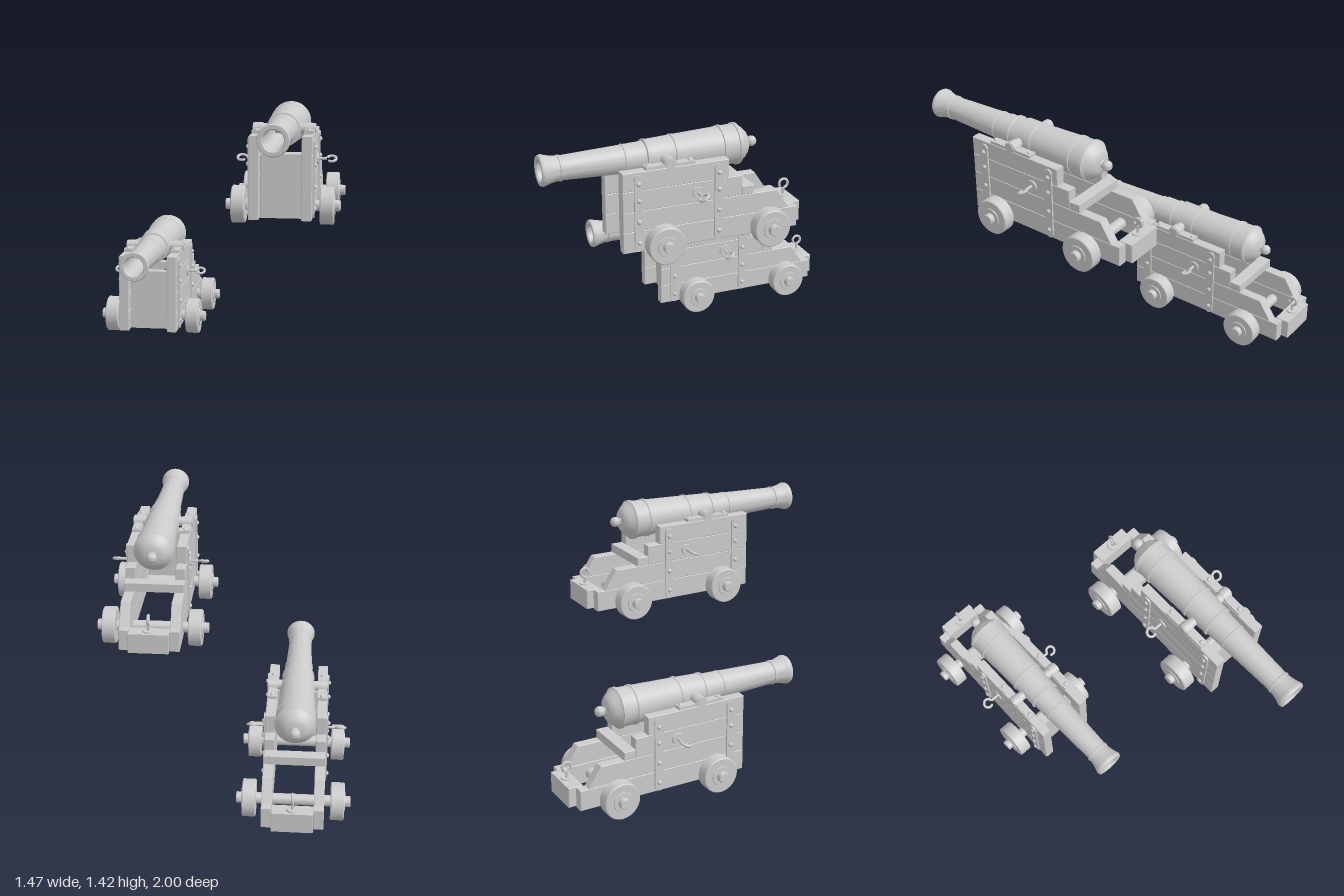
import * as THREE from 'three';
import { toCreasedNormals } from 'three/addons/utils/BufferGeometryUtils.js';

const material = new THREE.MeshStandardMaterial({ color: 0xcccccc });
const SIDES = [-1, 1];
const IN = 0.115, OUT = 0.172; // inner and outer faces of the cheeks
const AXIS_Y = 0.523;          // height of the barrel axis

function add(parent, name, geometry, x = 0, y = 0, z = 0) {
  const mesh = new THREE.Mesh(geometry, material);
  mesh.name = name;
  mesh.position.set(x, y, z);
  parent.add(mesh);
  return mesh;
}

// Turned part: profile of [radius, position along axis], ascending for outer faces
function turned(profile, segments = 40) {
  const points = profile.map(([r, t]) => new THREE.Vector2(r, t));
  return toCreasedNormals(new THREE.LatheGeometry(points, segments), 0.5);
}

// Board cut from a side outline of [z, y] points, running from x0 to x1
function board(outline, x0, x1) {
  const b = 0.003;
  const shape = new THREE.Shape(outline.map(([z, y]) => new THREE.Vector2(z, y)));
  const g = new THREE.ExtrudeGeometry(shape, {
    depth: x1 - x0 - 2 * b, bevelThickness: b, bevelSize: b, bevelOffset: -b, bevelSegments: 1,
  });
  return g.rotateY(-Math.PI / 2).translate(x1 - b, 0, 0);
}

const rect = (z0, z1, y0, y1) => [[z0, y0], [z1, y0], [z1, y1], [z0, y1]];

// Domed bolt head pointing up +y
const boltGeometry = new THREE.SphereGeometry(0.014, 14, 6, 0, Math.PI * 2, 0, Math.PI / 2);

// Eyebolt standing on its base along +y, ring in its own xy plane
function eyebolt(name, height) {
  const g = new THREE.Group();
  g.name = name;
  const r = 0.026;
  add(g, 'eyeboltBase', new THREE.CylinderGeometry(0.032, 0.034, 0.008, 24), 0, 0.004);
  const stem = height - r;
  add(g, 'eyeboltStem', new THREE.CylinderGeometry(0.008, 0.008, stem, 12), 0, stem / 2);
  const ring = new THREE.TorusGeometry(r, 0.008, 10, 28, 5.2).rotateZ(-Math.PI / 2);
  add(g, 'eyeboltRing', ring, 0, height);
  const tip = -Math.PI / 2 + 5.2;
  add(g, 'eyeboltTip', new THREE.SphereGeometry(0.008, 10, 8), r * Math.cos(tip), height + r * Math.sin(tip));
  return g;
}

function addBarrel(cannon) {
  const profile = [];
  // Ball at the breech end
  for (let i = 0; i <= 10; i++) {
    const a = (i / 10) * 2.5;
    profile.push([0.03 * Math.sin(a), -0.747 - 0.03 * Math.cos(a)]);
  }
  profile.push(
    // Breech cone and bands
    [0.022, -0.717], [0.05, -0.712], [0.066, -0.705], [0.085, -0.688], [0.102, -0.666],
    [0.11, -0.657], [0.116, -0.654], [0.116, -0.638], [0.11, -0.634], [0.108, -0.565],
    [0.113, -0.562], [0.113, -0.548], [0.107, -0.545],
    // Tapering body with raised rings
    [0.097, -0.285], [0.101, -0.282], [0.101, -0.27], [0.096, -0.267],
    [0.09, -0.125], [0.094, -0.122], [0.094, -0.112], [0.083, -0.109],
    [0.079, 0], [0.082, 0.002], [0.082, 0.01], [0.078, 0.012],
    [0.066, 0.35], [0.071, 0.353], [0.071, 0.363], [0.067, 0.366],
    // Flared muzzle, lip and bore
    [0.069, 0.385], [0.074, 0.41], [0.081, 0.435], [0.085, 0.445], [0.085, 0.455], [0.08, 0.465],
    [0.06, 0.465], [0.055, 0.458], [0.055, -0.32], [0, -0.32],
  );
  add(cannon, 'barrel', turned(profile, 48).rotateX(Math.PI / 2), 0, AXIS_Y, 0);
  add(cannon, 'trunnion', new THREE.CylinderGeometry(0.028, 0.028, 0.35, 24).rotateZ(Math.PI / 2), 0, AXIS_Y, -0.205);
}

function addCarriage(cannon) {
  // Stepped planks of one cheek, from bottom to top
  const planks = [
    rect(-0.957, 0.068, 0.05, 0.17),
    [[-0.905, 0.17], [0.068, 0.17], [0.068, 0.285], [-0.83, 0.285]],
    rect(-0.62, 0.068, 0.285, 0.4),
    rect(-0.54, 0.068, 0.4, 0.505),
  ];
  for (const s of SIDES) {
    const cheek = new THREE.Group();
    cheek.name = s > 0 ? 'leftCheek' : 'rightCheek';
    cannon.add(cheek);
    const [x0, x1] = s > 0 ? [IN, OUT] : [-OUT, -IN];
    for (const p of planks) add(cheek, 'cheekPlank', board(p, x0, x1));

    // Cap over the trunnion: flat plate, arch and bolts
    const mid = s * (IN + OUT) / 2;
    add(cheek, 'capPlate', new THREE.BoxGeometry(0.05, 0.018, 0.28), mid, 0.513, -0.205);
    add(cheek, 'capArch', new THREE.CylinderGeometry(0.036, 0.036, 0.05, 24).rotateZ(Math.PI / 2), mid, AXIS_Y - 0.004, -0.205);
    for (const z of [-0.085, -0.325]) add(cheek, 'capBolt', boltGeometry, mid, 0.521, z);

    // Iron straps with rounded ends and bolt heads
    for (const z of [-0.02, -0.48]) {
      const shape = new THREE.Shape();
      shape.absarc(z, 0.465, 0.025, 0, Math.PI);
      shape.absarc(z, 0.08, 0.025, Math.PI, Math.PI * 2);
      const strap = new THREE.ExtrudeGeometry(shape, { depth: 0.01, bevelEnabled: false, curveSegments: 8 });
      strap.rotateY(-Math.PI / 2).translate(s > 0 ? OUT + 0.01 : -OUT, 0, 0);
      add(cheek, 'strap', strap);
      for (const y of [0.44, 0.345, 0.225, 0.105]) {
        add(cheek, 'strapBolt', boltGeometry, s * (OUT + 0.008), y, z).rotation.z = -s * Math.PI / 2;
      }
    }

    // Side eyebolt, its ring tilted down toward the front
    const eye = eyebolt('sideEyebolt', 0.082);
    eye.position.set(s * OUT, 0.34, -0.36);
    eye.rotation.set(0, s > 0 ? Math.PI * 2 / 3 : Math.PI / 3, -s * Math.PI / 2, 'ZYX');
    cheek.add(eye);
  }

  // Front wall between the cheeks
  for (const [y0, y1] of [[0.05, 0.17], [0.17, 0.285], [0.285, 0.4]]) {
    add(cannon, 'frontTransom', board(rect(-0.07, -0.01, y0, y1), -IN, IN));
  }
  // Crossbeam behind the breech, tail block and its eyebolt
  add(cannon, 'crossbeam', board(rect(-0.69, -0.62, 0.285, 0.335), -OUT, OUT));
  add(cannon, 'tailBlock', board(rect(-1, -0.915, 0.055, 0.172), -IN, IN));
  const eye = eyebolt('tailEyebolt', 0.07);
  eye.position.set(0, 0.172, -0.955);
  eye.rotation.y = Math.PI / 2;
  cannon.add(eye);
}

function addWheels(cannon) {
  const wheel = turned([
    [0, -0.038], [0.1, -0.038], [0.105, -0.033], [0.105, 0.033], [0.1, 0.038],
    [0.057, 0.038], [0.055, 0.043], [0, 0.043],
  ]);
  const axle = turned([[0, -0.318], [0.028, -0.318], [0.031, -0.314], [0.031, 0.314], [0.028, 0.318], [0, 0.318]], 24);
  for (const z of [-0.142, -0.758]) {
    add(cannon, 'axle', axle, 0, 0.105, z).rotation.z = -Math.PI / 2;
    for (const s of SIDES) add(cannon, 'wheel', wheel, s * 0.245, 0.105, z).rotation.z = -s * Math.PI / 2;
  }
}

export function createModel() {
  const model = new THREE.Group();
  model.name = 'cannonPair';
  const cannon = new THREE.Group();
  cannon.name = 'lowerCannon';
  addBarrel(cannon);
  addCarriage(cannon);
  addWheels(cannon);
  cannon.position.x = -0.416;

  // Same cannon again, higher and further forward
  const upper = cannon.clone();
  upper.name = 'upperCannon';
  upper.position.set(0.416, 0.78, 0.535);
  model.add(cannon, upper);
  return model;
}
